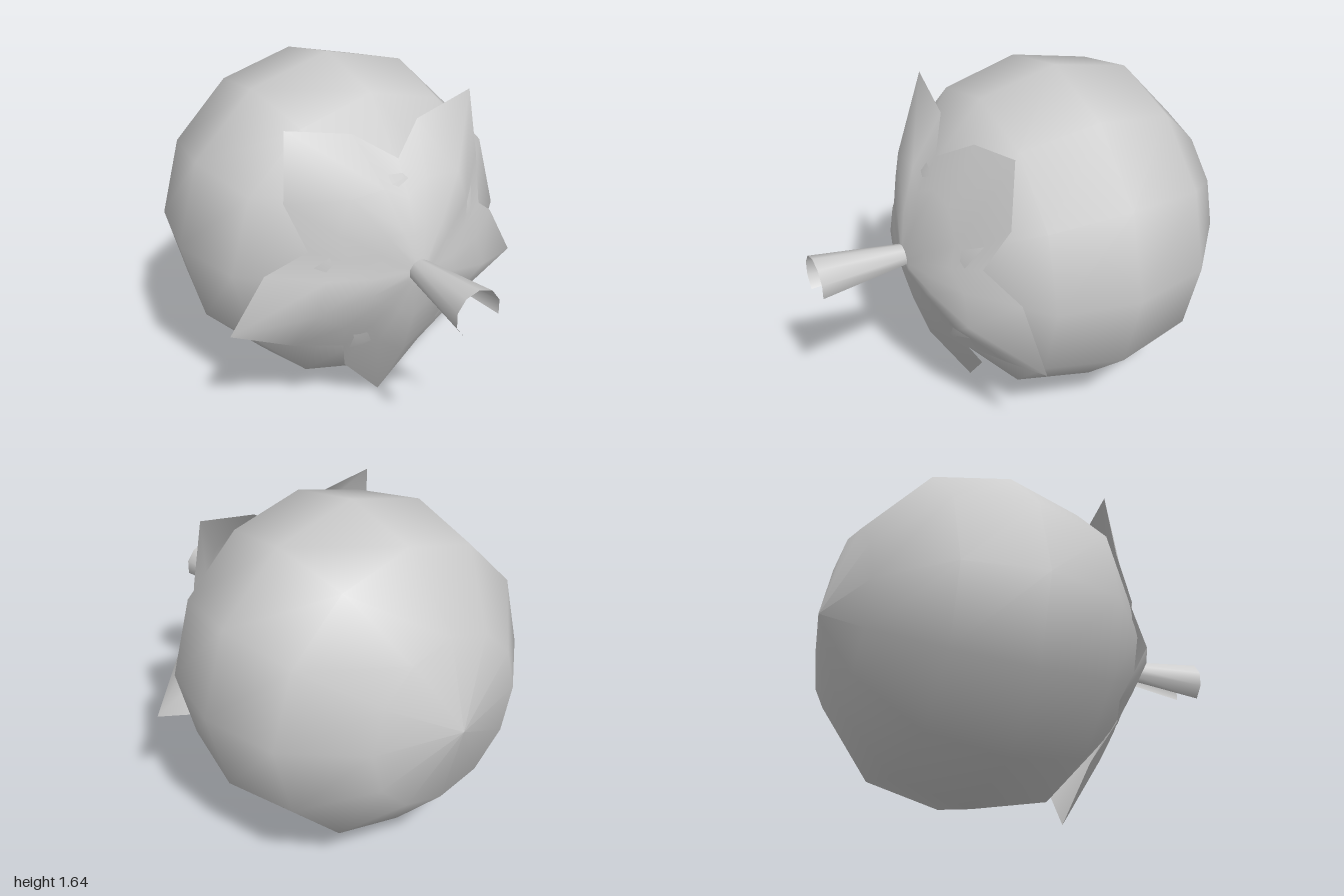
import * as THREE from 'three';

const material = new THREE.MeshStandardMaterial({ color: 0xcccccc, side: THREE.DoubleSide });

function addPart(group, name, geometry, x, y, z) {
  const mesh = new THREE.Mesh(geometry, material);
  mesh.name = name;
  mesh.position.set(x, y, z);
  group.add(mesh);
}

// Round body: rings stacked along z, slightly flattened
function bodyGeometry() {
  const half = [[0, 0.77], [0.42, 0.66], [0.73, 0.382]];
  const profile = [
    ...half.map(([r, z]) => new THREE.Vector2(r, -z)),
    new THREE.Vector2(0.815, 0),
    ...half.slice().reverse().map(([r, z]) => new THREE.Vector2(r, z)),
  ];
  return new THREE.LatheGeometry(profile, 12).rotateX(Math.PI / 2);
}

// Five-pointed leaf star: each spoke is a list of [radius, z] from the middle outwards
function calyxGeometry() {
  const ridge = [[0.07, 0.568], [0.24, 0.53], [0.48, 0.45], [0.835, 0.235]];
  const side = [[0.07, 0.568], [0.21, 0.527], [0.41, 0.448], [0.63, 0.27]];
  const notch = [[0.07, 0.568], [0.18, 0.53], [0.33, 0.475], [0.49, 0.38]];
  const spokes = [[ridge, 0], [side, 20], [notch, 36], [side, 52]];
  const rings = ridge.length;
  const count = 5 * spokes.length;
  const positions = [0, 0, 0.57];
  const index = [];
  for (let i = 0; i < count; i++) {
    const [points, offset] = spokes[i % 4];
    const angle = THREE.MathUtils.degToRad(-90 + 72 * Math.floor(i / 4) + offset);
    for (const [r, z] of points) positions.push(r * Math.cos(angle), r * Math.sin(angle), z);
    const a = 1 + i * rings;
    const b = 1 + ((i + 1) % count) * rings;
    index.push(0, a, b);
    for (let j = 0; j < rings - 1; j++) {
      index.push(a + j, a + j + 1, b + j + 1, a + j, b + j + 1, b + j);
    }
  }
  const geometry = new THREE.BufferGeometry();
  geometry.setAttribute('position', new THREE.Float32BufferAttribute(positions, 3));
  geometry.setIndex(index);
  geometry.computeVertexNormals();
  return geometry;
}

export function createModel() {
  const group = new THREE.Group();
  group.name = 'fruit';
  addPart(group, 'body', bodyGeometry(), 0, 0.833, -0.23);
  addPart(group, 'calyx', calyxGeometry(), 0, 0.838, 0);

  // Flared hollow stem, open along its underside (seven of ten sides)
  const step = Math.PI / 5;
  const stem = new THREE.CylinderGeometry(0.115, 0.056, 0.43, 7, 1, true, 2 * step, 7 * step);
  addPart(group, 'stem', stem.rotateX(Math.PI / 2), 0, 0.85, 0.785);
  addPart(group, 'stemBase', new THREE.CircleGeometry(0.056, 10, step / 2), 0, 0.85, 0.574);
  return group;
}
